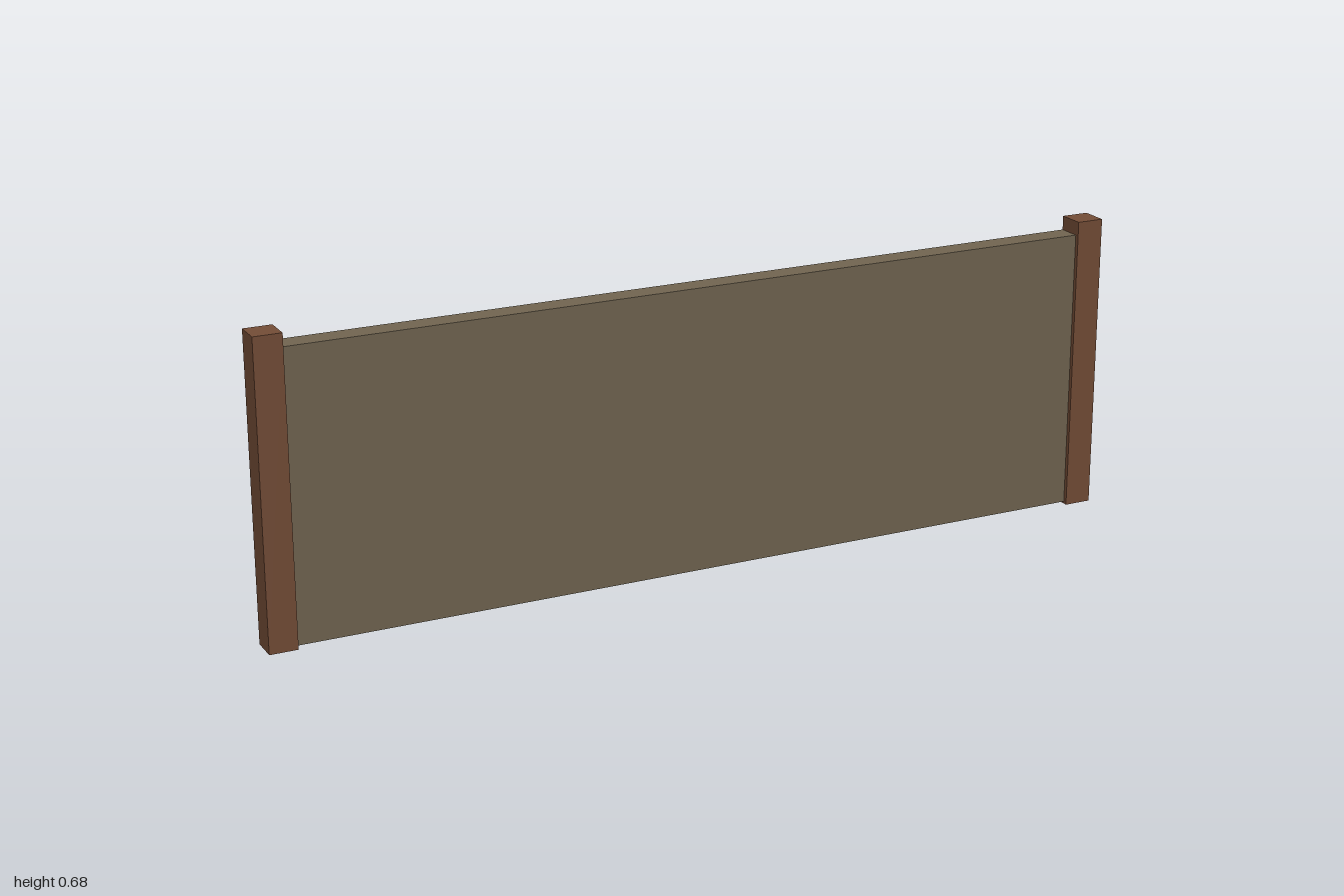
import * as THREE from 'three';

export function createModel() {
  const group = new THREE.Group();
  const postWood = new THREE.MeshStandardMaterial({ color: 0x734c36 });
  postWood.name = 'reddish brown wood';
  const panelWood = new THREE.MeshStandardMaterial({ color: 0x706450 });
  panelWood.name = 'grey brown wood';

  const postSize = 0.063, postHeight = 0.68;

  function addBox(name, material, size, position) {
    const mesh = new THREE.Mesh(new THREE.BoxGeometry(...size), material);
    mesh.name = name;
    mesh.position.set(...position);
    group.add(mesh);
  }

  // Square end posts
  for (const [name, side] of [['leftPost', 1], ['rightPost', -1]]) {
    addBox(name, postWood, [postSize, postHeight, postSize],
      [side * (1 - postSize / 2), postHeight / 2, 0]);
  }

  // Panel between the posts, flush with their backs and set in at the front
  const bottom = 0.005, top = 0.648, back = -postSize / 2, front = 0.022;
  addBox('panel', panelWood, [2 - 2 * postSize, top - bottom, front - back],
    [0, (top + bottom) / 2, (front + back) / 2]);

  return group;
}
